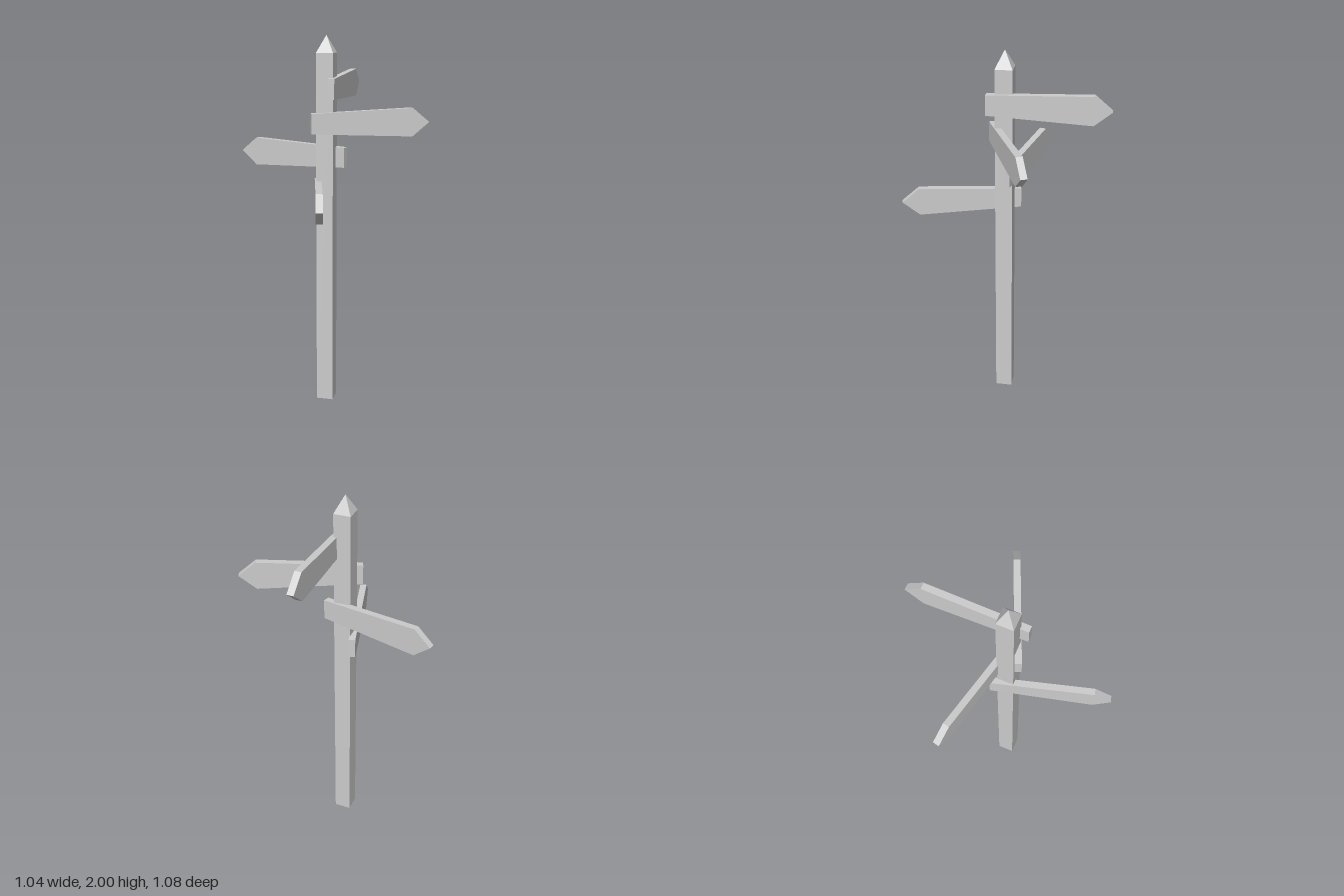
import * as THREE from 'three';

const material = new THREE.MeshStandardMaterial({ color: 0xcccccc, flatShading: true });

const POST_WIDTH = 0.09;
const SHAFT_TOP = 1.91;
const BOARD_THICKNESS = 0.035;
const BOARD_OFFSET = 0.045; // board centre sits on the post's face

// Pointed board outline, widening from the tail to the shoulder
function boardGeometry() {
  const outline = new THREE.Shape([
    [-0.09, -0.053], [0.45, -0.075], [0.54, 0], [0.45, 0.075], [-0.09, 0.053],
  ].map(([x, y]) => new THREE.Vector2(x, y)));
  const geometry = new THREE.ExtrudeGeometry(outline, { depth: BOARD_THICKNESS, bevelEnabled: false });
  return geometry.translate(0, 0, BOARD_OFFSET - BOARD_THICKNESS / 2);
}

export function createModel() {
  const model = new THREE.Group();
  model.name = 'signpost';

  const add = (name, geometry, y, degrees = 0) => {
    const mesh = new THREE.Mesh(geometry, material);
    mesh.name = name;
    mesh.position.y = y;
    mesh.rotation.y = THREE.MathUtils.degToRad(degrees);
    model.add(mesh);
  };

  // Square post
  add('post', new THREE.BoxGeometry(POST_WIDTH, SHAFT_TOP, POST_WIDTH), SHAFT_TOP / 2);

  // Pyramid point, its sides lined up with the post
  const capHeight = 2 - SHAFT_TOP;
  const cap = new THREE.ConeGeometry(POST_WIDTH / Math.SQRT2, capHeight, 4).rotateY(Math.PI / 4);
  add('postPoint', cap, SHAFT_TOP + capHeight / 2);

  // Direction boards, from top to bottom: height and heading
  const board = boardGeometry();
  [
    ['backBoard', 1.73, 90],
    ['leftBoard', 1.55, 23.3],
    ['rightBoard', 1.365, 167.2],
    ['frontBoard', 1.185, -75],
  ].forEach(([name, y, heading]) => add(name, board, y, heading));

  return model;
}
